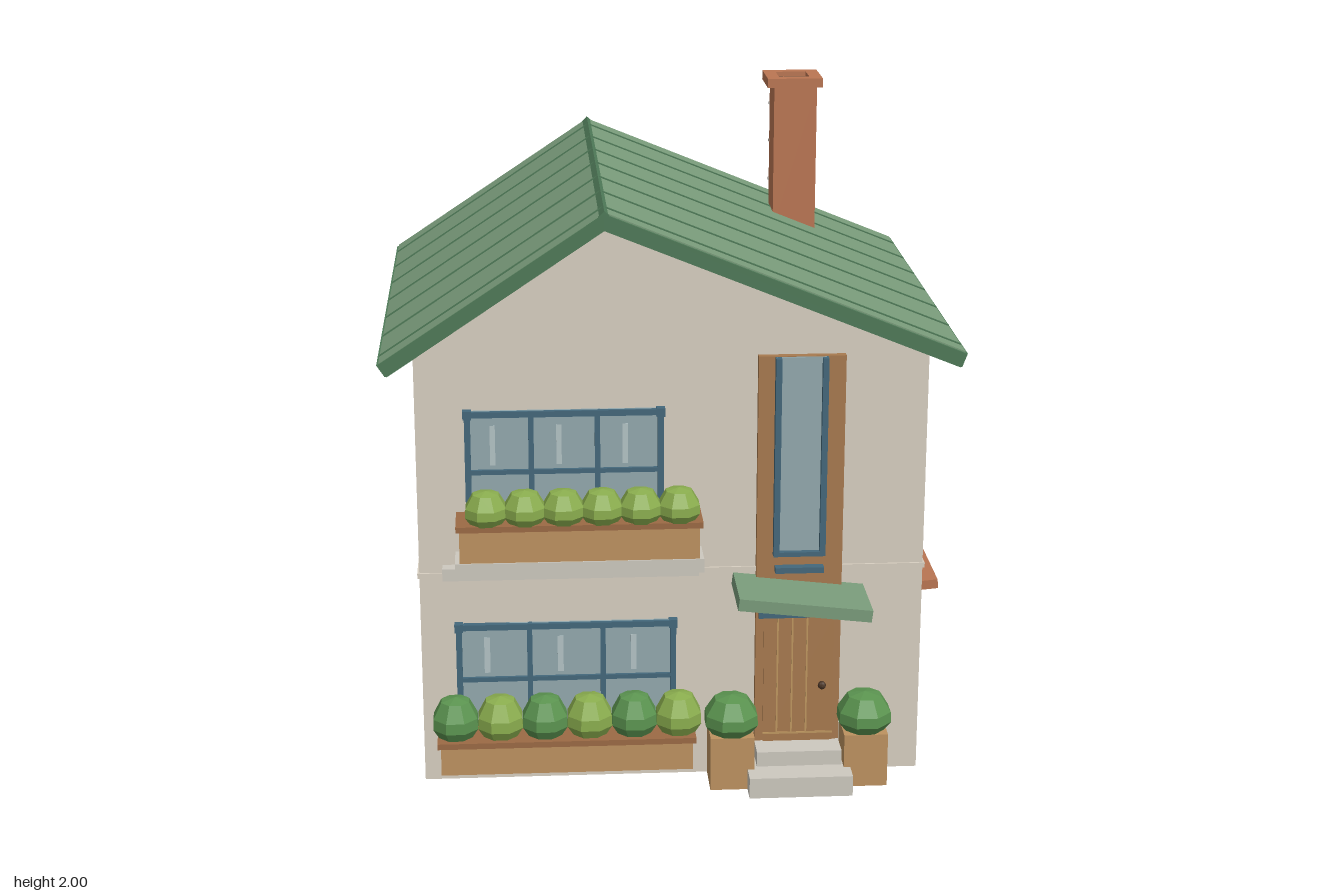
import * as THREE from 'three';

const C = {
  wall: 0xd8cfc1, roof: 0x7a9c7b, roofDark: 0x4f7a58, frame: 0x44687b, glass: 0x93a9ae, shine: 0xb4c4c6,
  lamp: 0xd8ba80, wood: 0xbd9260, rim: 0x9c6a45, door: 0xa87a4f, groove: 0xc09860, stone: 0xcdc9bf,
  brick: 0xbb7653, soot: 0x735540, mortar: 0xa59a90, leafA: 0x8aad4e, leafB: 0x5b9450, knob: 0x4a3526,
};
const mats = {};
const mat = (c) => (mats[c] ??= new THREE.MeshStandardMaterial({ color: C[c], flatShading: true }));

function mesh(parent, name, geo, color) {
  const m = new THREE.Mesh(geo, mat(color));
  m.name = name;
  parent.add(m);
  return m;
}

// Box given by its limits on each axis
function box(parent, name, color, x0, x1, y0, y1, z0, z1) {
  const m = mesh(parent, name, new THREE.BoxGeometry(x1 - x0, y1 - y0, z1 - z0), color);
  m.position.set((x0 + x1) / 2, (y0 + y1) / 2, (z0 + z1) / 2);
  return m;
}

// Outline in x and y, pulled along z
function prism(parent, name, color, pts, z0, z1) {
  const shape = new THREE.Shape(pts.map(([x, y]) => new THREE.Vector2(x, y)));
  const geo = new THREE.ExtrudeGeometry(shape, { depth: z1 - z0, bevelEnabled: false });
  geo.translate(0, 0, z0);
  return mesh(parent, name, geo, color);
}

function group(parent, name) {
  const g = new THREE.Group();
  g.name = name;
  parent.add(g);
  return g;
}

// Faceted bush standing on y
function bush(parent, x, y, z, r, h, color) {
  const profile = [[0, 0], [0.65, 0], [1, 0.3], [0.98, 0.55], [0.62, 0.92], [0, 1]];
  const geo = new THREE.LatheGeometry(profile.map(([a, b]) => new THREE.Vector2(a * r, b * h)), 8);
  const m = mesh(parent, 'bush', geo, color);
  m.position.set(x, y, z);
  m.rotation.y = Math.PI / 8;
}

// Frame with square corner blocks, facing +z from z = 0
function windowFrame(parent, name, x0, x1, y0, y1, pane) {
  const g = group(parent, name), t = 0.018;
  box(g, 'pane', pane, x0, x1, y0, y1, -0.005, 0.008);
  for (const x of [x0, x1 - t]) box(g, 'sideBar', 'frame', x, x + t, y0, y1, 0, 0.02);
  for (const y of [y0, y1 - t]) box(g, 'crossBar', 'frame', x0, x1, y, y + t, 0, 0.02);
  for (const x of [x0, x1 - t]) for (const y of [y0, y1 - t])
    box(g, 'cornerBlock', 'frame', x - 0.004, x + t + 0.004, y - 0.004, y + t + 0.004, 0, 0.025);
  return g;
}

// Three-pane front window
function wideWindow(parent, x0, x1, y0, mid, y1) {
  const g = windowFrame(parent, 'frontWindow', x0, x1, y0, y1, 'glass');
  g.position.z = 0.59;
  const w = (x1 - x0) / 3;
  box(g, 'middleBar', 'frame', x0, x1, mid - 0.007, mid + 0.007, 0, 0.018);
  for (let i = 0; i < 3; i++) {
    const x = x0 + w * i;
    if (i) box(g, 'mullion', 'frame', x - 0.008, x + 0.008, y0, y1, 0, 0.018);
    box(g, 'glint', 'shine', x + w * 0.38, x + w * 0.46, mid + 0.02, y1 - 0.045, 0, 0.01);
  }
}

// Small lit window with a blind at the top
function smallWindow(parent, name, y) {
  const g = windowFrame(parent, name, -0.11, 0.11, y, y + 0.235, 'lamp');
  box(g, 'blind', 'glass', -0.09, 0.09, y + 0.19, y + 0.217, 0, 0.011);
  return g;
}

// Wooden trough with a row of bushes
function planter(parent, x0, x1, y0, y1, z1, bx, r, h, colors) {
  const g = group(parent, 'planter');
  box(g, 'trough', 'wood', x0, x1, y0, y1, 0.59, z1);
  box(g, 'rim', 'rim', x0 - 0.01, x1 + 0.01, y1 - 0.012, y1 + 0.006, 0.59, z1 + 0.008);
  for (let i = 0; i < 6; i++)
    bush(g, bx[0] + (bx[1] - bx[0]) * i / 5, y1 - 0.005, 0.685, r, h, colors[i % colors.length]);
}

export function createModel() {
  const house = new THREE.Group();
  house.name = 'house';

  // Walls with off-centre gable, and the storey band
  prism(house, 'walls', 'wall', [[-0.77, 0], [0.755, 0], [0.755, 1.36], [-0.21, 1.755], [-0.77, 1.38]], -0.705, 0.59);
  box(house, 'storeyBand', 'wall', -0.776, 0.761, 0.664, 0.68, -0.711, 0.596);

  // Roof slopes with end boards, eave boards and standing seams
  const roof = group(house, 'roof');
  for (const [ex, ey, s, bx] of [[-0.865, 1.365, -1, -0.842], [0.845, 1.37, 1, 0.83]]) {
    const slope = (lift, drop) => {
      const pts = [[-0.21, 1.8 + lift], [-0.21, 1.75 - drop], [bx, 1.327 - drop], [ex, ey + lift]];
      return s > 0 ? pts : pts.reverse();
    };
    prism(roof, 'roofSlope', 'roof', slope(0, 0), -0.8, 0.68);
    for (const z of [-0.81, 0.68]) prism(roof, 'endBoard', 'roofDark', slope(-0.004, 0.003), z, z + 0.01);
    const eave = [[ex, ey - 0.006], [bx, 1.324], [bx + s * 0.006, 1.324], [ex + s * 0.006, ey - 0.006]];
    prism(roof, 'eaveBoard', 'roofDark', eave, -0.805, 0.685);
    for (let i = 0; i < 7; i++) {
      const z = -0.688 + i * 0.2165;
      const seam = [[-0.21, 1.804], [-0.21, 1.79], [ex, ey - 0.01], [ex, ey + 0.004]];
      prism(roof, 'seam', 'roofDark', seam, z - 0.004, z + 0.004);
    }
  }
  prism(roof, 'ridgeCap', 'roofDark', [[-0.228, 1.787], [-0.195, 1.792], [-0.21, 1.805]], -0.81, 0.69);

  // Chimney with open cap and mortar lines
  const chimney = group(house, 'chimney');
  box(chimney, 'stack', 'brick', 0.39, 0.53, 1.49, 1.97, -0.53, -0.39);
  const cap = new THREE.Shape([[0.367, 0.375], [0.547, 0.375], [0.547, 0.555], [0.367, 0.555]].map((p) => new THREE.Vector2(...p)));
  cap.holes.push(new THREE.Path([[0.407, 0.415], [0.407, 0.515], [0.507, 0.515], [0.507, 0.415]].map((p) => new THREE.Vector2(...p))));
  const capMesh = mesh(chimney, 'cap', new THREE.ExtrudeGeometry(cap, { depth: 0.03, bevelEnabled: false }), 'brick');
  capMesh.rotation.x = -Math.PI / 2;
  capMesh.position.y = 1.97;
  box(chimney, 'flue', 'soot', 0.407, 0.507, 1.96, 1.985, -0.515, -0.415);
  for (const y of [1.64, 1.77, 1.895])
    box(chimney, 'mortarLine', 'mortar', 0.387, 0.533, y - 0.004, y + 0.004, -0.533, -0.52);

  // Front windows, planters and ledges
  wideWindow(house, -0.625, -0.035, 0.83, 1.0, 1.188);
  wideWindow(house, -0.665, 0.003, 0.16, 0.335, 0.515);
  planter(house, -0.645, 0.065, 0.757, 0.867, 0.722, [-0.565, 0.005], 0.066, 0.108, ['leafA']);
  planter(house, -0.715, 0.045, 0.085, 0.185, 0.745, [-0.67, 0.005], 0.073, 0.135, ['leafB', 'leafA', 'leafB', 'leafA', 'leafB', 'leafA']);
  box(house, 'upperLedge', 'stone', -0.66, 0.08, 0.705, 0.747, 0.59, 0.7);
  box(house, 'lowerLedge', 'stone', -0.7, 0.07, 0.667, 0.705, 0.59, 0.63);

  // Side and back windows
  for (const y of [0.9, 0.225]) {
    const side = smallWindow(house, 'sideWindow', y);
    side.position.set(0.755, 0, 0.145);
    side.rotation.y = Math.PI / 2;
    const back = smallWindow(house, 'backWindow', y);
    back.position.set(-0.33, 0, -0.705);
    back.rotation.y = Math.PI;
  }
  box(house, 'sideAwning', 'brick', 0.752, 0.858, 0.476, 0.506, -0.015, 0.305).rotation.z = 0.09;

  // Entrance: tall panel, stair window and plank door
  const entry = group(house, 'entrance');
  box(entry, 'entrancePanel', 'door', 0.245, 0.505, 0, 1.345, 0.58, 0.613);
  box(entry, 'tallPane', 'glass', 0.3, 0.445, 0.73, 1.343, 0.6, 0.62);
  for (const x of [0.294, 0.433]) box(entry, 'tallBar', 'frame', x, x + 0.018, 0.73, 1.343, 0.61, 0.638);
  box(entry, 'tallSill', 'frame', 0.294, 0.451, 0.724, 0.738, 0.61, 0.638);
  box(entry, 'lowSill', 'frame', 0.3, 0.447, 0.672, 0.69, 0.61, 0.642);
  box(entry, 'doorHead', 'frame', 0.253, 0.49, 0.522, 0.545, 0.6, 0.628);
  box(entry, 'doorLeaf', 'door', 0.27, 0.485, 0.11, 0.522, 0.6, 0.619);
  for (const x of [0.31, 0.355, 0.4]) box(entry, 'plankLine', 'groove', x, x + 0.005, 0.14, 0.52, 0.61, 0.621);
  box(entry, 'kickLine', 'groove', 0.27, 0.485, 0.136, 0.142, 0.61, 0.621);
  mesh(entry, 'knob', new THREE.SphereGeometry(0.013, 8, 6), 'knob').position.set(0.45, 0.297, 0.625);
  box(entry, 'lowerStep', 'stone', 0.215, 0.53, 0, 0.065, 0.59, 0.785);
  box(entry, 'upperStep', 'stone', 0.245, 0.505, 0.065, 0.112, 0.59, 0.7);
  box(entry, 'canopy', 'roof', 0.173, 0.573, 0.6, 0.637, 0.59, 0.812).rotation.z = -0.117;

  // Potted bushes either side of the steps
  for (const x of [0.168, 0.577]) {
    const pot = group(house, 'pottedBush');
    box(pot, 'pot', 'wood', x - 0.067, x + 0.067, 0, 0.17, 0.59, 0.72);
    bush(pot, x, 0.16, 0.66, 0.086, 0.13, 'leafB');
  }
  return house;
}
